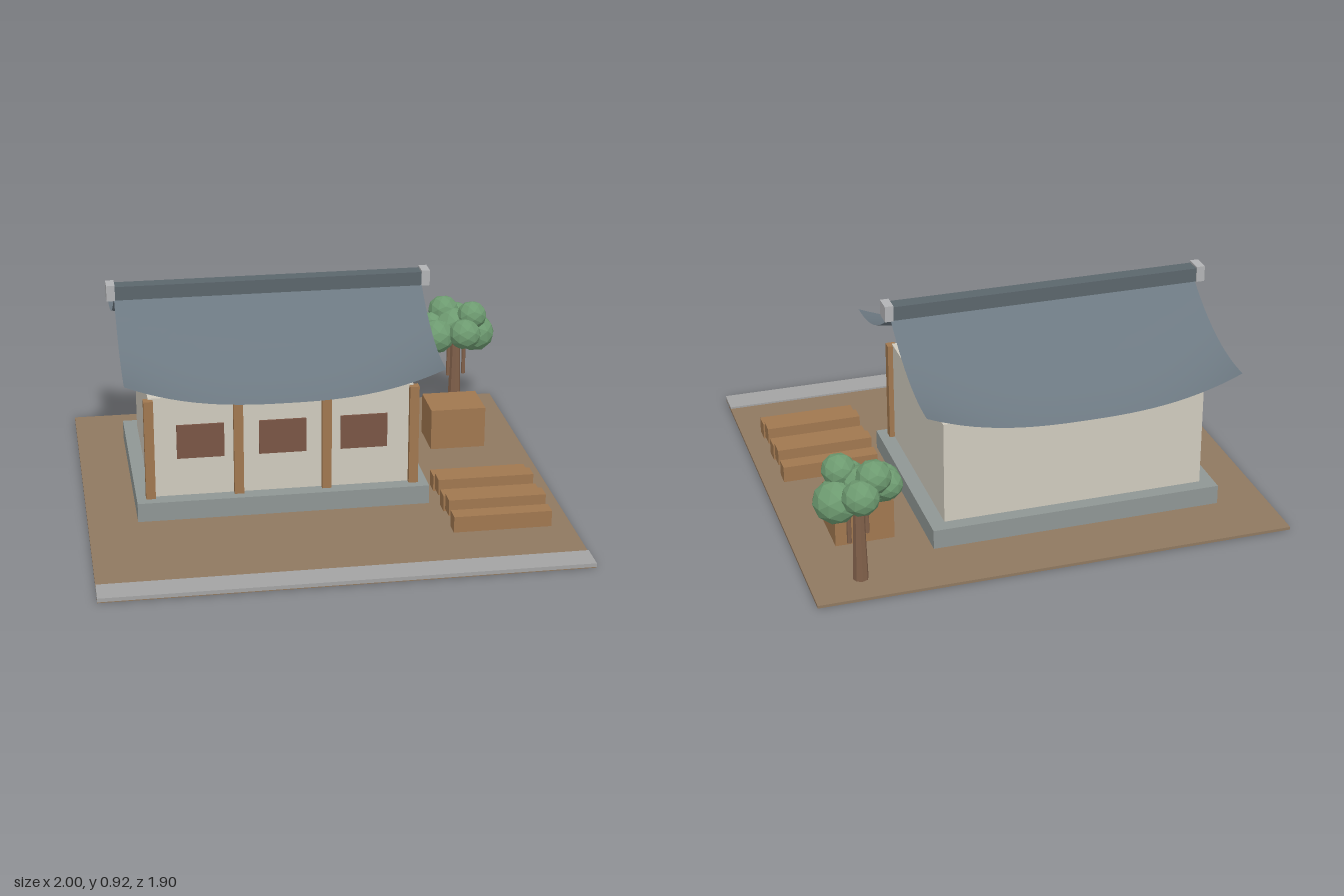
import * as THREE from 'three';

const mat = (color, extra = {}) => {
  const m = new THREE.MeshStandardMaterial({ color });
  return Object.assign(m, extra);
};
const WOOD = mat(0xa0774f);
const STONE = mat(0x8f9694);
const WALL = mat(0xcfcabd);
const EARTH = mat(0x8f7860);
const PAVING = mat(0xa3a3a3);
const WINDOW = mat(0x7a5545);
const TILE = mat(0x6c7881, { side: THREE.DoubleSide });
const RIDGE = mat(0x5b666c);
const CAP = mat(0xb2b3b5);
const BARK = mat(0x80604a, { flatShading: true });
const LEAF = mat(0x6d9a70, { flatShading: true });

function add(parent, name, geometry, material) {
  const mesh = new THREE.Mesh(geometry, material);
  mesh.name = name;
  parent.add(mesh);
  return mesh;
}

// Box given by its lower and upper limits on each axis
function box(parent, name, material, [x0, x1], [y0, y1], [z0, z1]) {
  const mesh = add(parent, name, new THREE.BoxGeometry(x1 - x0, y1 - y0, z1 - z0), material);
  mesh.position.set((x0 + x1) / 2, (y0 + y1) / 2, (z0 + z1) / 2);
  return mesh;
}

// One roof slope: sags from ridge to eave and sweeps up towards both ends
function slopeGeometry() {
  const geo = new THREE.PlaneGeometry(2, 1, 28, 12);
  const pos = geo.attributes.position;
  for (let i = 0; i < pos.count; i++) {
    const t = pos.getX(i);
    const v = 0.5 - pos.getY(i);
    const sag = 0.31 * (1.65 * v - 0.65 * v * v);
    const lift = 0.11 * Math.pow(Math.abs(t), 2.6) * Math.pow(v, 1.15);
    pos.setXYZ(i, t * 0.665, 0.855 - sag + lift, v * 0.54);
  }
  geo.computeVertexNormals();
  return geo;
}

function buildHouse() {
  const house = new THREE.Group();
  house.name = 'house';
  box(house, 'plinth', STONE, [-0.79, 0.453], [0.012, 0.095], [-0.645, 0.27]);
  box(house, 'walls', WALL, [-0.73, 0.39], [0.095, 0.54], [-0.585, 0.205]);

  // Front posts and windows
  for (let i = 0; i < 4; i++) {
    const x = -0.73 + i * 0.374;
    box(house, 'post', WOOD, [x - 0.02, x + 0.02], [0.095, 0.535], [0.19, 0.23]);
  }
  for (let i = 0; i < 3; i++) {
    const x = -0.515 + i * 0.347;
    box(house, 'window', WINDOW, [x - 0.1, x + 0.1], [0.265, 0.415], [0.2, 0.213]);
  }

  // Roof slopes, ridge beam and end caps
  const slope = slopeGeometry();
  for (const turn of [0, Math.PI]) {
    const mesh = add(house, turn ? 'backRoof' : 'frontRoof', slope, TILE);
    mesh.rotation.y = turn;
    mesh.position.set(-0.168, 0, -0.19);
  }
  box(house, 'ridgeBeam', RIDGE, [-0.833, 0.497], [0.85, 0.91], [-0.223, -0.157]);
  for (const x of [-0.848, 0.509]) {
    box(house, 'ridgeCap', CAP, [x - 0.018, x + 0.018], [0.85, 0.918], [-0.228, -0.151]);
  }
  return house;
}

function buildTree() {
  const tree = new THREE.Group();
  tree.name = 'tree';
  const stem = (name, x, z, y0, y1, rTop, rBottom) => {
    const mesh = add(tree, name, new THREE.CylinderGeometry(rTop, rBottom, y1 - y0, 8), BARK);
    mesh.position.set(x, (y0 + y1) / 2, z);
  };
  stem('trunk', 0.79, -0.77, 0.012, 0.4, 0.02, 0.032);
  stem('branch', 0.75, -0.735, 0.195, 0.4, 0.008, 0.01);
  stem('branch', 0.832, -0.775, 0.185, 0.4, 0.008, 0.01);

  // Foliage clumps: x, y, z, radius
  const clumps = [
    [0.685, 0.4, -0.715, 0.085], [0.882, 0.385, -0.785, 0.094],
    [0.81, 0.42, -0.67, 0.076], [0.805, 0.435, -0.875, 0.076],
    [0.74, 0.49, -0.825, 0.072], [0.855, 0.49, -0.73, 0.07],
    [0.775, 0.43, -0.775, 0.09], [0.68, 0.43, -0.79, 0.066],
  ];
  for (const [x, y, z, r] of clumps) {
    const mesh = add(tree, 'foliage', new THREE.IcosahedronGeometry(r, 1), LEAF);
    mesh.position.set(x, y, z);
    mesh.scale.y = 0.95;
  }
  return tree;
}

export function createModel() {
  const model = new THREE.Group();
  model.name = 'courtyardHouse';

  // Yard with a paved strip along the front
  box(model, 'yard', EARTH, [-1, 1], [0, 0.012], [-0.92, 0.95]);
  box(model, 'pavedStrip', PAVING, [-1, 1], [0.004, 0.02], [0.83, 0.951]);

  model.add(buildHouse(), buildTree());

  // Timber stack, alternate beams raised, and a crate
  for (let i = 0; i < 5; i++) {
    const z = 0.116 + i * 0.105;
    const y = i % 2 ? 0.04 : 0.012;
    box(model, 'timber', WOOD, [0.497, 0.913], [y, y + 0.07], [z - 0.035, z + 0.035]);
  }
  box(model, 'crate', WOOD, [0.58, 0.828], [0.012, 0.2], [-0.505, -0.295]);
  return model;
}
